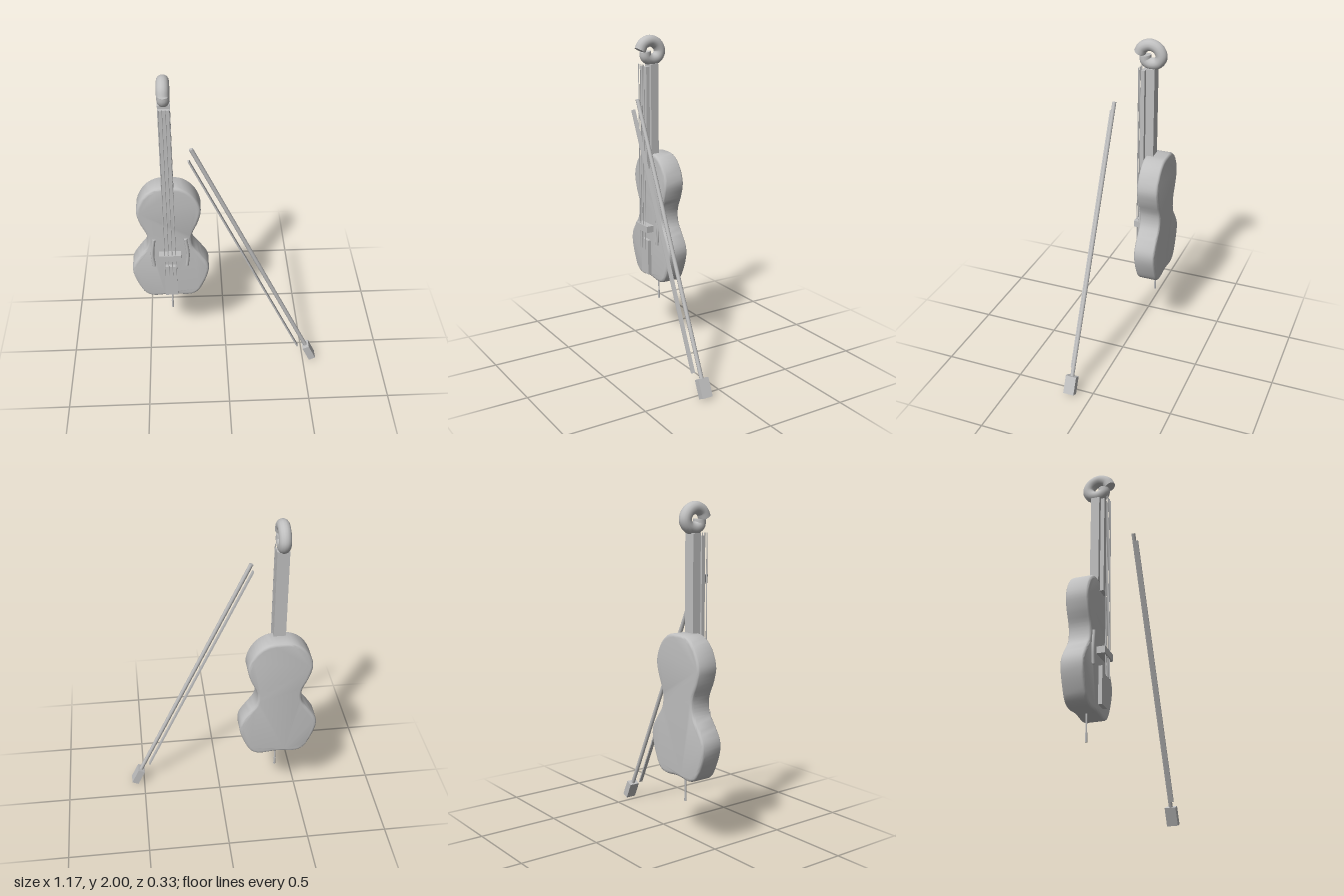
import * as THREE from 'three';
import { toCreasedNormals } from 'three/addons/utils/BufferGeometryUtils.js';

export function createModel() {
  const model = new THREE.Group();
  const grey = new THREE.MeshStandardMaterial({ color: 0xc0c0c0 });
  grey.name = 'plainGrey';
  const V = (x, y, z) => new THREE.Vector3(x, y, z);

  function add(parent, name, geometry, x = 0, y = 0, z = 0) {
    const mesh = new THREE.Mesh(geometry, grey);
    mesh.name = name;
    mesh.position.set(x, y, z);
    parent.add(mesh);
    return mesh;
  }
  // Box given by its limits on each axis
  function block(parent, name, halfWidth, y0, y1, z0, z1) {
    return add(parent, name, new THREE.BoxGeometry(2 * halfWidth, y1 - y0, z1 - z0), 0, (y0 + y1) / 2, (z0 + z1) / 2);
  }
  // Turn a mesh so its y axis runs from a to b
  function span(mesh, a, b) {
    mesh.position.copy(a).add(b).multiplyScalar(0.5);
    mesh.quaternion.setFromUnitVectors(V(0, 1, 0), b.clone().sub(a).normalize());
  }
  function rod(parent, name, a, b, radius, sides = 8) {
    span(add(parent, name, new THREE.CylinderGeometry(radius, radius, a.distanceTo(b), sides)), a, b);
  }
  // Round tube with closed ends
  function cappedTube(parent, name, points, radius, segments, sides) {
    const curve = new THREE.CatmullRomCurve3(points);
    add(parent, name, new THREE.TubeGeometry(curve, segments, radius, sides));
    for (const t of [0, 1]) {
      const p = curve.getPoint(t);
      const cap = add(parent, name + 'End', new THREE.CircleGeometry(radius, sides), p.x, p.y, p.z);
      cap.quaternion.setFromUnitVectors(V(0, 0, 1), curve.getTangent(t).multiplyScalar(t ? 1 : -1));
    }
  }

  const cello = new THREE.Group();
  cello.name = 'cello';
  cello.position.x = -0.344;
  model.add(cello);

  // Body: mirrored half outline, extruded with a soft edge
  const half = [[0.08, 1.258], [0.15, 1.205], [0.195, 1.1], [0.178, 1.01], [0.137, 0.91], [0.142, 0.83],
    [0.19, 0.76], [0.233, 0.69], [0.239, 0.63], [0.208, 0.53], [0.165, 0.455], [0.115, 0.432]];
  const outline = [[0, 1.267], ...half, [0, 0.44], ...half.map(([x, y]) => [-x, y]).reverse()]
    .map(([x, y]) => V(x, y, 0)).reverse();
  const loop = new THREE.CatmullRomCurve3(outline, true).getPoints(96).slice(0, -1);
  const bevel = 0.018;
  const bodyGeometry = new THREE.ExtrudeGeometry(new THREE.Shape(loop.map(p => new THREE.Vector2(p.x, p.y))), {
    depth: 0.137 - 2 * bevel, bevelThickness: bevel, bevelSize: bevel, bevelOffset: -bevel, bevelSegments: 4,
  });
  add(cello, 'body', toCreasedNormals(bodyGeometry, 0.6), 0, 0, -0.167 + bevel);

  // Neck and fittings
  block(cello, 'neck', 0.036, 1.25, 1.825, -0.08, -0.027);
  block(cello, 'fingerboard', 0.035, 1.175, 1.81, -0.017, 0.006);
  block(cello, 'tailpiece', 0.04, 0.47, 0.7, -0.017, 0.006);
  block(cello, 'bridge', 0.068, 0.763, 0.805, -0.02, 0.031);

  // Strings
  for (const k of [-1.5, -0.5, 0.5, 1.5]) {
    rod(cello, 'string', V(k * 0.023, 0.643, 0.022), V(k * 0.02, 1.825, 0.022), 0.0035, 6);
  }

  // Sound holes
  for (const s of [-1, 1]) {
    cappedTube(cello, 'soundHole', [V(s * 0.097, 0.893, -0.026), V(s * 0.108, 0.81, -0.026),
      V(s * 0.11, 0.76, -0.026), V(s * 0.102, 0.686, -0.026)], 0.011, 16, 8);
  }

  // Scroll curling inward above the neck
  cappedTube(cello, 'scroll', [[0.028, 1.908], [0.008, 1.945], [-0.04, 1.964], [-0.088, 1.944], [-0.109, 1.9],
    [-0.09, 1.862], [-0.047, 1.851], [-0.012, 1.868], [-0.008, 1.9]].map(([z, y]) => V(0, y, z)), 0.036, 48, 14);

  // End pin with a thicker foot
  rod(cello, 'endPin', V(0, 0.29, -0.098), V(0, 0.45, -0.098), 0.005);
  rod(cello, 'endPinFoot', V(0, 0.275, -0.098), V(0, 0.33, -0.098), 0.007);

  // Bow
  const bow = new THREE.Group();
  bow.name = 'bow';
  model.add(bow);
  rod(bow, 'bowStick', V(-0.199, 1.638, 0.131), V(0.515, 0.11, 0.131), 0.0125, 10);
  const hairTop = V(-0.214, 1.575, 0.153), hairEnd = V(0.458, 0.128, 0.153);
  span(add(bow, 'bowHair', new THREE.BoxGeometry(0.009, hairTop.distanceTo(hairEnd), 0.024)), hairEnd, hairTop);
  const frog = add(bow, 'frog', new THREE.BoxGeometry(0.044, 0.112, 0.068), 0.538, 0.061, 0.131);
  frog.rotation.z = 0.437;

  return model;
}
